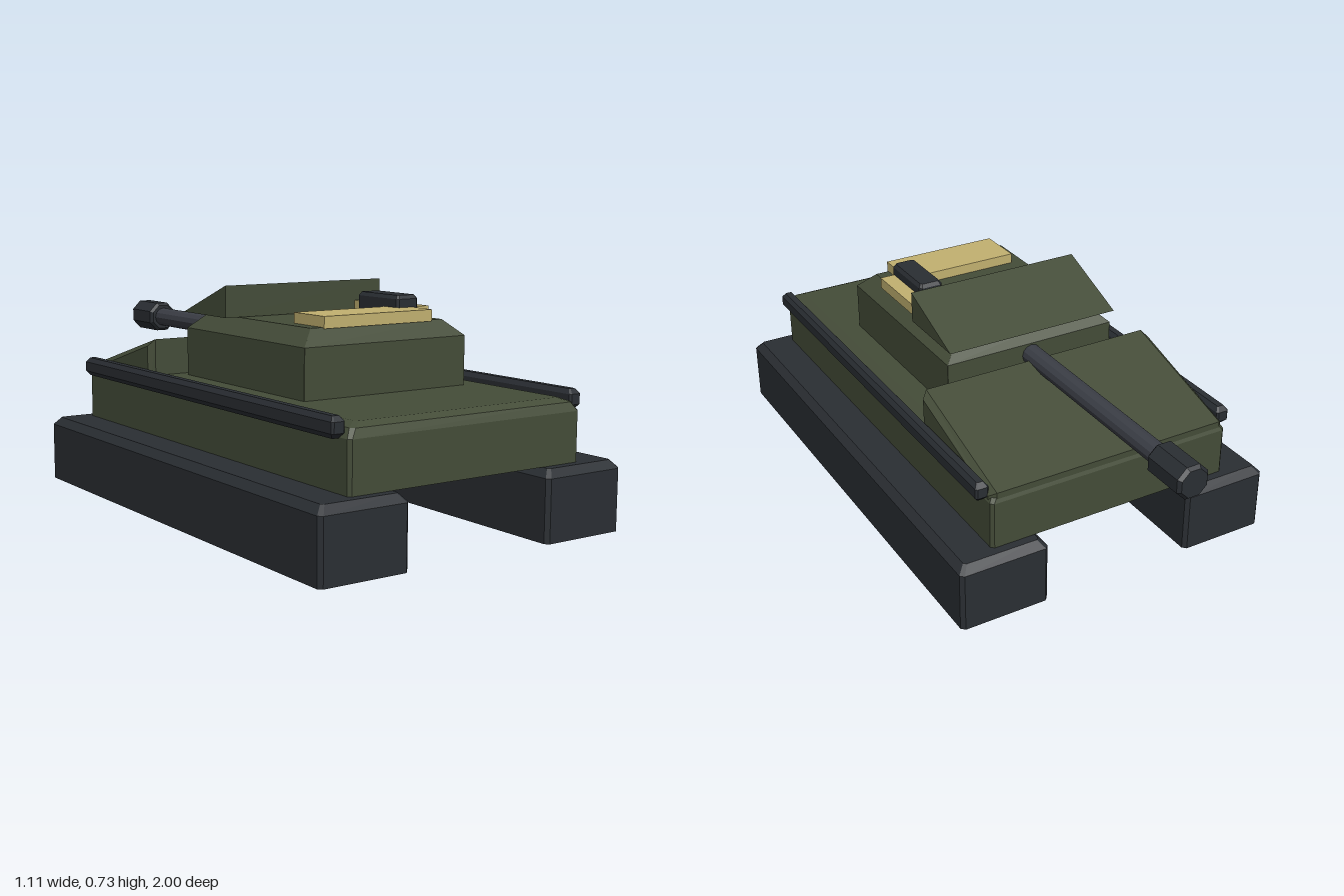
import * as THREE from 'three';

const paint = (color) => new THREE.MeshStandardMaterial({ color, flatShading: true });
const green = paint(0x444c38);
const rubber = paint(0x2a2e33);
const gunmetal = paint(0x3b3e46);
const sand = paint(0xc2b170);

// Stacks plan outlines [y, halfWidth, halfDepth, cornerCut] into a closed solid
function stackGeometry(levels) {
  const rings = levels.map(([y, w, d, c]) => [
    [w, y, -d + c], [w, y, d - c], [w - c, y, d], [-w + c, y, d],
    [-w, y, d - c], [-w, y, -d + c], [-w + c, y, -d], [w - c, y, -d],
  ]);
  const pos = [];
  const tri = (a, b, c) => pos.push(...a, ...b, ...c);
  for (let r = 0; r < rings.length - 1; r++) {
    for (let i = 0; i < 8; i++) {
      const j = (i + 1) % 8;
      tri(rings[r][i], rings[r + 1][i], rings[r][j]);
      tri(rings[r][j], rings[r + 1][i], rings[r + 1][j]);
    }
  }
  const bottom = rings[0], top = rings[rings.length - 1];
  for (let i = 1; i < 7; i++) {
    tri(bottom[0], bottom[i], bottom[i + 1]);
    tri(top[0], top[i + 1], top[i]);
  }
  const geo = new THREE.BufferGeometry();
  geo.setAttribute('position', new THREE.Float32BufferAttribute(pos, 3));
  geo.computeVertexNormals();
  return geo;
}

// Extrudes a side profile of [z, y] points across the width, centred on x = 0
function profileGeometry(points, halfWidth, bevel = 0) {
  const shape = new THREE.Shape(points.map(([z, y]) => new THREE.Vector2(-z, y)));
  return new THREE.ExtrudeGeometry(shape, {
    depth: 2 * (halfWidth - bevel), bevelEnabled: bevel > 0, bevelSegments: 1,
    bevelSize: bevel, bevelThickness: bevel, bevelOffset: -bevel,
  }).rotateY(Math.PI / 2).translate(-halfWidth + bevel, 0, 0);
}

export function createModel() {
  const model = new THREE.Group();
  model.name = 'tank';
  const add = (name, geo, mat, x = 0, y = 0, z = 0) => {
    const mesh = new THREE.Mesh(geo, mat);
    mesh.name = name;
    mesh.position.set(x, y, z);
    model.add(mesh);
  };

  // Running gear and side rails, mirrored
  const track = stackGeometry([
    [0, 0.15, 0.83, 0.012], [0.195, 0.15, 0.83, 0.012], [0.22, 0.127, 0.807, 0.008],
  ]);
  const rail = stackGeometry([
    [-0.031, 0.011, 0.735, 0.003], [-0.016, 0.022, 0.75, 0.006],
    [0.016, 0.022, 0.75, 0.006], [0.031, 0.011, 0.735, 0.003],
  ]);
  for (const [label, s] of [['left', 1], ['right', -1]]) {
    add(label + 'Track', track, rubber, s * 0.405, 0, 0.17);
    add(label + 'Rail', rail, rubber, s * 0.437, 0.404, 0.17);
  }

  // Hull with rounded upper edges
  add('hull', stackGeometry([
    [0.22, 0.425, 0.78, 0.01], [0.375, 0.425, 0.78, 0.01],
    [0.402, 0.408, 0.768, 0.012], [0.415, 0.375, 0.74, 0.012],
  ]), green, 0, 0, 0.17);

  // Sloping armour wedge under the barrel
  add('slopedDeck', profileGeometry(
    [[-0.16, 0.3], [-0.16, 0.535], [-0.605, 0.407], [-0.605, 0.3]], 0.423, 0.02), green);

  // Turret with chamfered shoulders
  add('turret', stackGeometry([
    [0.41, 0.305, 0.342, 0.001], [0.572, 0.305, 0.342, 0.001], [0.622, 0.25, 0.294, 0.001],
  ]), green, 0, 0, 0.223);

  // Wedge on the turret roof
  add('roofWedge', profileGeometry([[0.125, 0.623], [0.125, 0.725], [-0.14, 0.623]], 0.305), green);

  // Roof panels and sight box
  add('rearPanel', new THREE.BoxGeometry(0.41, 0.037, 0.16), sand, -0.002, 0.637, 0.445);
  add('sidePanel', new THREE.BoxGeometry(0.08, 0.037, 0.295), sand, 0.24, 0.637, 0.267);
  add('sightBox', stackGeometry([
    [0.62, 0.042, 0.106, 0.008], [0.682, 0.042, 0.106, 0.008], [0.694, 0.034, 0.098, 0.006],
  ]), rubber, 0.187, 0, 0.321);

  // Barrel and octagonal muzzle
  add('barrel', new THREE.CylinderGeometry(0.034, 0.034, 0.89, 12)
    .rotateX(Math.PI / 2), gunmetal, -0.002, 0.533, -0.405);
  const muzzleProfile = [[0, -0.08], [0.047, -0.08], [0.057, -0.069], [0.057, 0.069], [0.047, 0.08], [0, 0.08]];
  add('muzzle', new THREE.LatheGeometry(
    muzzleProfile.map(([r, y]) => new THREE.Vector2(r, y)), 8, Math.PI / 8)
    .rotateX(Math.PI / 2), rubber, -0.002, 0.533, -0.92);

  return model;
}
